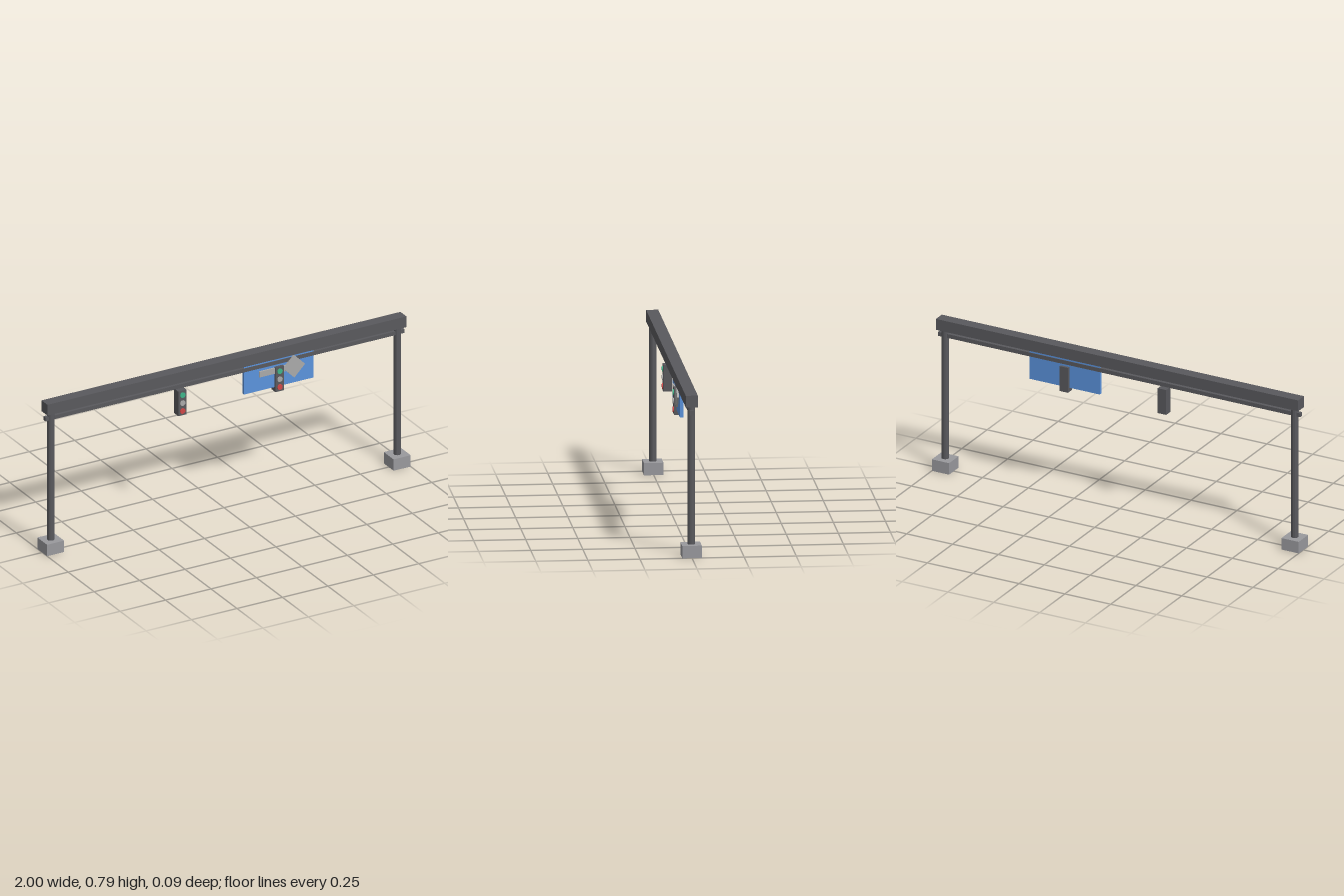
import * as THREE from 'three';

const mat = (color) => new THREE.MeshStandardMaterial({ color, flatShading: true });

export function createModel() {
  const model = new THREE.Group();
  const steel = mat(0x59595d);
  const concrete = mat(0x99999d);
  const blue = mat(0x5b93dc);
  const pale = mat(0xaaaaaa);
  const lampColors = [mat(0x3fb489), pale, mat(0xd04848)];

  const add = (parent, name, geometry, material, x, y, z) => {
    const mesh = new THREE.Mesh(geometry, material);
    mesh.name = name;
    mesh.position.set(x, y, z);
    parent.add(mesh);
    return mesh;
  };
  const box = (w, h, d) => new THREE.BoxGeometry(w, h, d);

  // Posts standing on square footings
  for (const side of [-1, 1]) {
    const name = side > 0 ? 'left' : 'right';
    add(model, name + 'Footing', box(0.094, 0.06, 0.094), concrete, side * 0.953, 0.03, 0);
    add(model, name + 'Post', new THREE.CylinderGeometry(0.0185, 0.0185, 0.74, 12), steel, side * 0.953, 0.37, 0);
  }

  // Main overhead beam and the thin rail below it
  add(model, 'topBeam', box(1.975, 0.057, 0.058), steel, 0, 0.762, 0);
  add(model, 'lowerRail', box(1.975, 0.02, 0.02), steel, 0, 0.705, 0);

  // Direction sign with a raised arrow
  const sign = new THREE.Group();
  sign.name = 'directionSign';
  model.add(sign);
  add(sign, 'signPanel', box(0.382, 0.16, 0.016), blue, 0.297, 0.657, 0);
  add(sign, 'arrowShaft', box(0.19, 0.03, 0.016), pale, 0.282, 0.666, 0.008);
  const head = add(sign, 'arrowHead', box(0.084, 0.084, 0.017), pale, 0.377, 0.666, 0.009);
  head.rotation.z = Math.PI / 4;

  // Signal heads with three lamps each
  const lampGeometry = new THREE.CylinderGeometry(0.014, 0.014, 0.008, 16).rotateX(Math.PI / 2);
  for (const x of [-0.24, 0.295]) {
    const signal = new THREE.Group();
    signal.name = 'trafficSignal';
    signal.position.set(x, 0.62, 0);
    model.add(signal);
    add(signal, 'signalHousing', box(0.046, 0.13, 0.041), steel, 0, 0, 0);
    lampColors.forEach((material, i) =>
      add(signal, 'signalLamp', lampGeometry, material, 0, 0.042 * (1 - i), 0.021));
  }
  return model;
}
